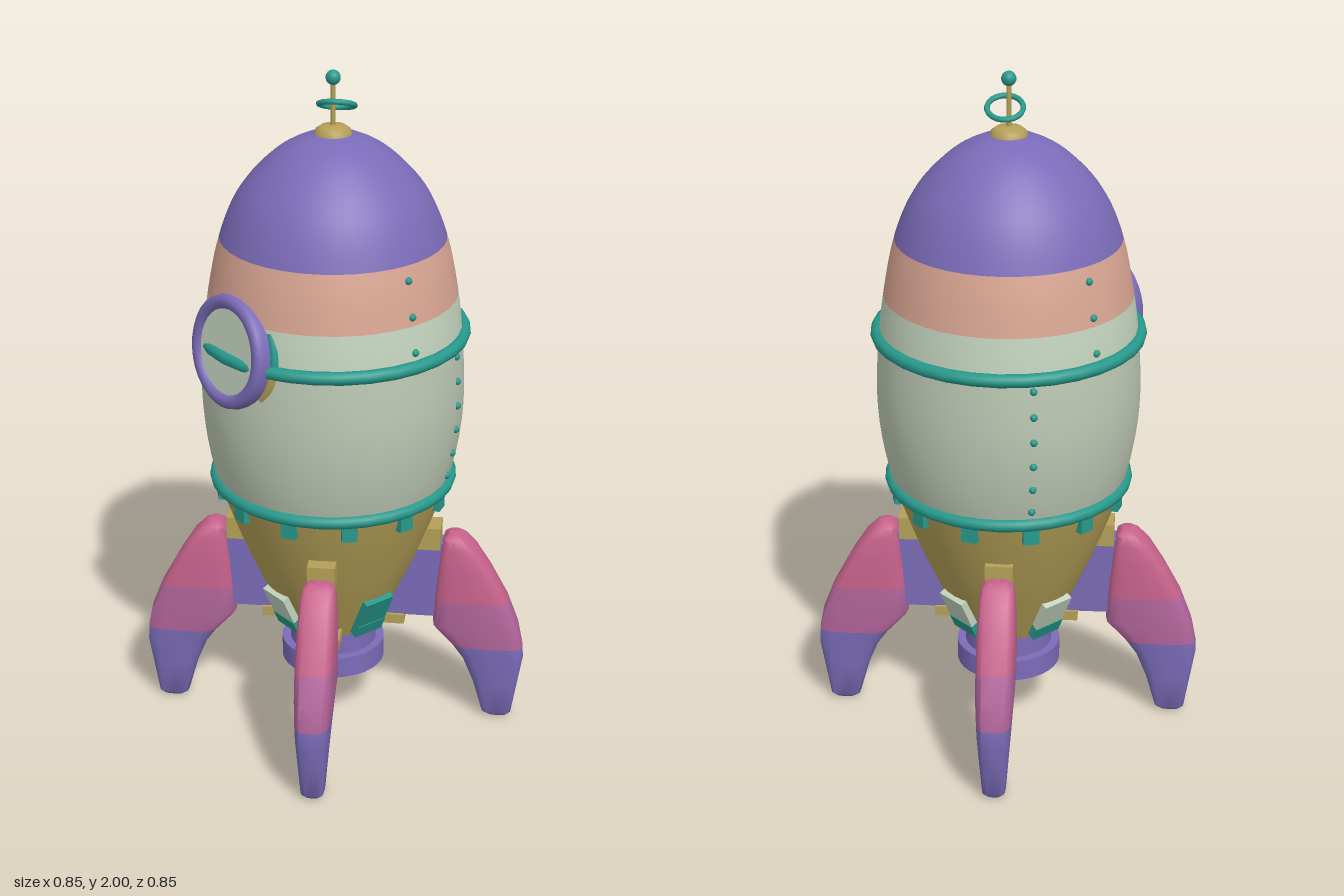
import * as THREE from 'three';
import { toCreasedNormals } from 'three/addons/utils/BufferGeometryUtils.js';

const V2 = (x, y) => new THREE.Vector2(x, y);

function material(name, color, side = THREE.FrontSide) {
  const m = new THREE.MeshStandardMaterial({ color, side });
  m.name = name;
  return m;
}

// Hull silhouette, from the base of the tail to the tip of the nose
const hullCurve = new THREE.SplineCurve([
  V2(0.148, 0.31), V2(0.235, 0.5), V2(0.283, 0.62), V2(0.335, 0.77), V2(0.366, 0.9),
  V2(0.38, 1.05), V2(0.372, 1.23), V2(0.353, 1.38), V2(0.32, 1.53), V2(0.262, 1.66),
  V2(0.165, 1.765), V2(0.07, 1.817), V2(0, 1.832),
]).getPoints(360);

function hullR(y) {
  const i = hullCurve.findIndex((p) => p.y >= y);
  if (i <= 0) return i < 0 ? 0 : hullCurve[0].x;
  const a = hullCurve[i - 1], b = hullCurve[i];
  return THREE.MathUtils.lerp(a.x, b.x, (y - a.y) / (b.y - a.y));
}

// Fin slices: height, inner radius, outer radius, half thickness
const finSlices = [
  [0, 0.475, 0.53, 0.02], [0.015, 0.455, 0.545, 0.034], [0.12, 0.425, 0.562, 0.042],
  [0.2, 0.392, 0.575, 0.048], [0.245, 0.36, 0.573, 0.051], [0.31, 0.3, 0.56, 0.055],
  [0.4, 0.303, 0.525, 0.056], [0.5, 0.313, 0.47, 0.055], [0.57, 0.322, 0.425, 0.051],
  [0.6, 0.328, 0.395, 0.044], [0.613, 0.343, 0.375, 0.028],
];

function finGeometry() {
  const n = 16, pos = [], index = [], last = finSlices.length - 1;
  const soft = (v) => Math.sign(v) * Math.sqrt(Math.abs(v));
  for (const [y, r0, r1, t] of finSlices) {
    for (let j = 0; j < n; j++) {
      const a = (j / n) * Math.PI * 2;
      pos.push((r0 + r1) / 2 + ((r1 - r0) / 2) * soft(Math.cos(a)), y, t * soft(Math.sin(a)));
    }
  }
  const g = new THREE.BufferGeometry();
  // Three colour zones, split at slices 4 and 6
  [[0, 4], [4, 6], [6, last]].forEach(([from, to], zone) => {
    const start = index.length;
    for (let i = from; i < to; i++) {
      for (let j = 0; j < n; j++) {
        const a = i * n + j, b = i * n + ((j + 1) % n), c = a + n, d = b + n;
        index.push(a, c, b, b, c, d);
      }
    }
    for (let j = 1; j < n - 1; j++) {
      if (from === 0) index.push(0, j, j + 1);
      if (to === last) index.push(last * n, last * n + j + 1, last * n + j);
    }
    g.addGroup(start, index.length - start, zone);
  });
  g.setAttribute('position', new THREE.Float32BufferAttribute(pos, 3));
  g.setIndex(index);
  return toCreasedNormals(g, 0.7);
}

export function createModel() {
  const purple = material('purple', 0x7b6bb8);
  const salmon = material('salmon', 0xd8a592);
  const paleGreen = material('paleGreen', 0xc3d3be);
  const greyGreen = material('greyGreen', 0xbcc8b4);
  const gold = material('gold', 0xb5a057);
  const teal = material('teal', 0x27998c);
  const pink = material('pink', 0xc8638c);
  const mauve = material('mauve', 0xb3669c);

  const model = new THREE.Group();
  const rocket = new THREE.Group();
  rocket.name = 'rocketBody';
  rocket.position.set(0.005, 0, -0.013);
  model.add(rocket);

  function add(parent, name, geometry, mat, x = 0, y = 0, z = 0) {
    const mesh = new THREE.Mesh(geometry, mat);
    mesh.name = name;
    mesh.position.set(x, y, z);
    parent.add(mesh);
    return mesh;
  }

  // Hull in coloured bands
  function band(name, y0, y1, mat, steps) {
    const pts = [];
    for (let i = 0; i <= steps; i++) {
      const y = y0 + (y1 - y0) * (i / steps);
      pts.push(V2(hullR(y), y));
    }
    add(rocket, name, new THREE.LatheGeometry(pts, 40), mat);
  }
  band('tailCone', 0.31, 0.78, gold, 8);
  band('lowerHull', 0.78, 1.245, greyGreen, 10);
  band('upperHull', 1.245, 1.36, paleGreen, 3);
  band('salmonBand', 1.36, 1.525, salmon, 4);
  band('noseCone', 1.525, 1.83, purple, 18);
  add(rocket, 'tailBase', new THREE.CircleGeometry(0.148, 40).rotateX(Math.PI / 2), gold, 0, 0.31);

  // Hoops around the hull
  for (const [y, r] of [[0.79, 0.344], [1.245, 0.376]]) {
    add(rocket, 'hullHoop', new THREE.TorusGeometry(r, 0.019, 10, 32).rotateX(Math.PI / 2), teal, 0, y);
  }

  // Tabs under the lower hoop
  for (let i = 0; i < 12; i++) {
    const tab = add(rocket, 'hoopTab', new THREE.BoxGeometry(0.045, 0.06, 0.024).translate(0, 0.755, 0.33), teal);
    tab.rotation.y = (i * Math.PI) / 6;
  }

  // Rivet seams, front and back
  const rivet = new THREE.SphereGeometry(0.011, 8, 6);
  function seam(angle, heights) {
    for (const y of heights) {
      for (const side of [1, -1]) {
        const r = hullR(y);
        add(rocket, 'rivet', rivet, teal, r * Math.sin(angle), y, side * r * Math.cos(angle));
      }
    }
  }
  seam(0, [1.285, 1.385, 1.485]);
  seam(0.53, [0.835, 0.91, 0.985, 1.06, 1.135, 1.21]);

  // Exhaust nozzle, hollow
  const nozzle = [[0, 0.29], [0.1, 0.29], [0.1, 0.17], [0.155, 0.17], [0.155, 0.235], [0.13, 0.235], [0.13, 0.315]];
  const nozzleGeo = new THREE.LatheGeometry(nozzle.map(([r, y]) => V2(r, y)), 32);
  add(rocket, 'nozzle', toCreasedNormals(nozzleGeo, 0.6), purple);

  // Hatches around the tail cone
  for (let i = 0; i < 4; i++) {
    const hatch = new THREE.Group();
    hatch.name = 'tailHatch';
    hatch.rotation.y = (i * Math.PI) / 2;
    rocket.add(hatch);
    const upper = add(hatch, 'hatchPanel', new THREE.BoxGeometry(0.1, 0.1, 0.03), i ? paleGreen : teal, 0, 0.405, hullR(0.405));
    const lower = add(hatch, 'hatchSill', new THREE.BoxGeometry(0.1, 0.045, 0.036), teal, 0, 0.342, hullR(0.342));
    upper.rotation.x = lower.rotation.x = Math.atan(0.45);
  }

  // Porthole, facing out and slightly upward
  const port = new THREE.Group();
  port.name = 'porthole';
  port.position.set(-0.35, 1.26, 0);
  port.rotation.set(-0.13, -Math.PI / 2, 0, 'YXZ');
  rocket.add(port);
  const rim = [[0.155, -0.045], [0.163, 0.01], [0.16, 0.028], [0.15, 0.036], [0.132, 0.036], [0.122, 0.026], [0.118, -0.045], [0.155, -0.045]];
  const rimGeo = new THREE.LatheGeometry(rim.map(([r, z]) => V2(r, z)), 32).rotateX(Math.PI / 2);
  add(port, 'portholeRim', toCreasedNormals(rimGeo, 0.8), purple);
  add(port, 'portholeGlass', new THREE.CircleGeometry(0.122, 32), paleGreen, 0, 0, 0.025);
  const collar = new THREE.TorusGeometry(0.161, 0.015, 8, 20, Math.PI);
  add(port, 'upperCollar', collar, teal, 0, 0, -0.022);
  add(port, 'lowerCollar', collar, gold, 0, 0, -0.022).rotation.z = Math.PI;

  // Antenna on the nose
  const cap = [[0.054, 1.81], [0.05, 1.832], [0.035, 1.843], [0, 1.846]];
  add(rocket, 'antennaBase', new THREE.LatheGeometry(cap.map(([r, y]) => V2(r, y)), 20), gold);
  add(rocket, 'antennaMast', new THREE.CylinderGeometry(0.007, 0.007, 0.14, 10), gold, 0, 1.905);
  add(rocket, 'antennaBall', new THREE.SphereGeometry(0.021, 16, 12), teal, 0, 1.979);
  const loop = add(rocket, 'antennaLoop', new THREE.TorusGeometry(0.05, 0.008, 8, 20), teal, 0.013, 1.9, 0);
  loop.quaternion.setFromUnitVectors(new THREE.Vector3(0, 0, 1), new THREE.Vector3(0.33, 1, -0.33).normalize());

  // Four diagonal fins with struts and brackets
  const finGeo = finGeometry();
  const strutShape = new THREE.Shape([V2(0.14, 0.34), V2(0.32, 0.34), V2(0.34, 0.585), V2(0.24, 0.585)]);
  const strutGeo = new THREE.ExtrudeGeometry(strutShape, { depth: 0.06, bevelEnabled: false }).translate(0, 0, -0.03);
  for (let i = 0; i < 4; i++) {
    const leg = new THREE.Group();
    leg.name = 'finAssembly';
    leg.rotation.y = Math.PI / 4 + (i * Math.PI) / 2;
    model.add(leg);
    add(leg, 'fin', finGeo, [purple, mauve, pink]);
    add(leg, 'finStrut', strutGeo, purple);
    add(leg, 'upperBracket', new THREE.BoxGeometry(0.07, 0.07, 0.08), gold, 0.285, 0.603);
    add(leg, 'lowerBracket', new THREE.BoxGeometry(0.08, 0.03, 0.08), gold, 0.175, 0.327);
  }
  return model;
}
